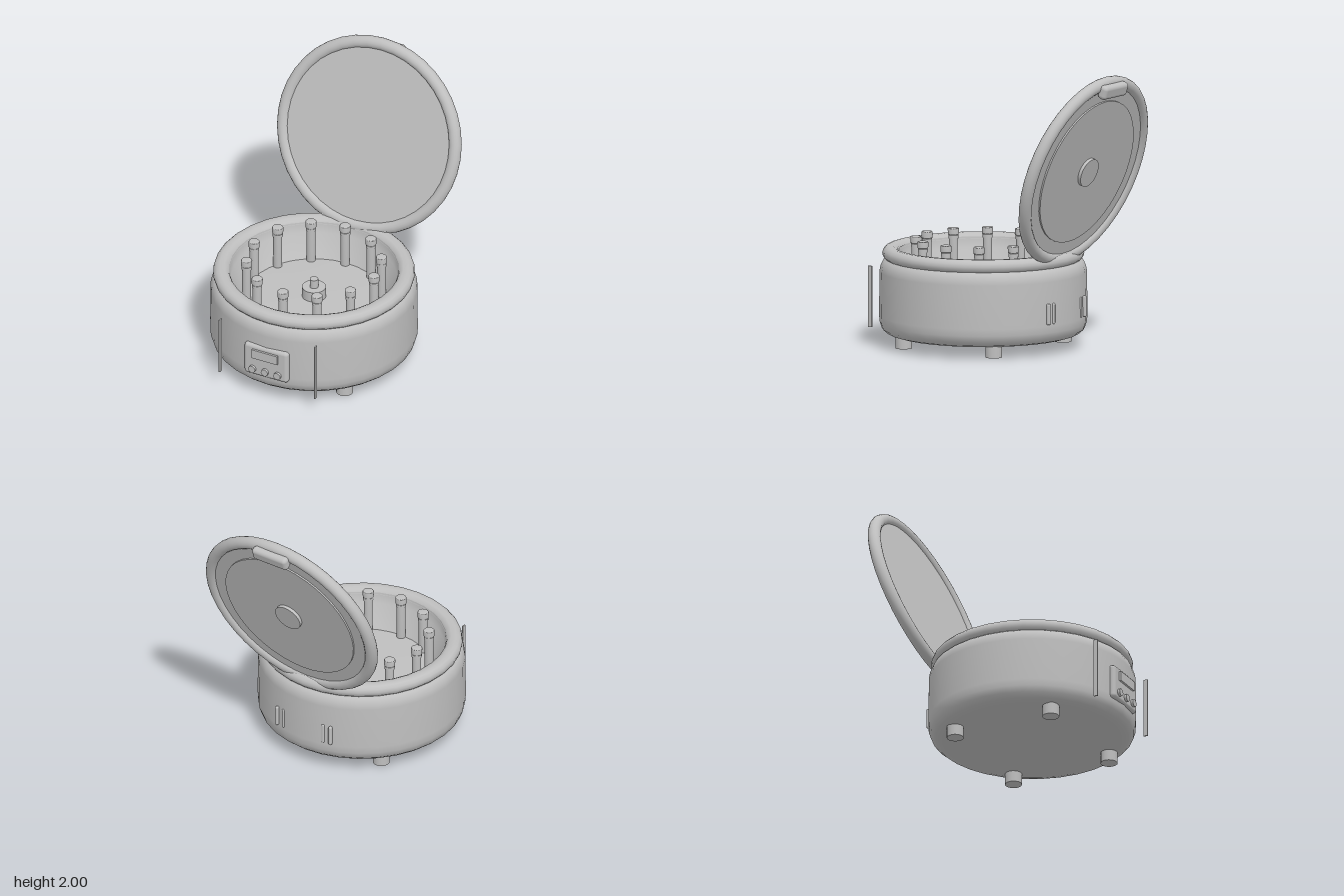
import * as THREE from 'three';
import { RoundedBoxGeometry } from 'three/addons/geometries/RoundedBoxGeometry.js';

export function createModel() {
  const model = new THREE.Group();
  const grey = new THREE.MeshStandardMaterial({ color: 0xbfbfbf });
  grey.name = 'plainGrey';

  function add(parent, name, geometry, x = 0, y = 0, z = 0) {
    const mesh = new THREE.Mesh(geometry, grey);
    mesh.name = name;
    mesh.position.set(x, y, z);
    parent.add(mesh);
    return mesh;
  }
  const lathe = (points, sides) =>
    new THREE.LatheGeometry(points.map(([r, y]) => new THREE.Vector2(r, y)), sides);

  // Base: drum, rim, bowl, feet and everything standing in the bowl
  const base = new THREE.Group();
  base.name = 'base';
  base.position.z = 0.19;
  model.add(base);

  add(base, 'drum', lathe([
    [0, 0.08], [0.62, 0.08], [0.63, 0.08], [0.68, 0.095], [0.715, 0.125], [0.73, 0.17],
    [0.733, 0.22], [0.73, 0.53], [0.722, 0.57], [0.705, 0.605], [0.67, 0.63],
  ], 32));
  add(base, 'rim', lathe([
    [0.6, 0.61], [0.69, 0.618], [0.706, 0.635], [0.711, 0.658], [0.705, 0.68],
    [0.688, 0.698], [0.665, 0.705], [0.63, 0.703], [0.605, 0.69], [0.594, 0.665],
  ], 32));
  add(base, 'bowlWall', lathe([[0.597, 0.68], [0.585, 0.6], [0.49, 0.44]], 32));
  add(base, 'bowlFloor', lathe([[0.492, 0.44], [0.25, 0.45], [0, 0.455]], 32));
  add(base, 'hub', new THREE.CylinderGeometry(0.085, 0.085, 0.1, 24), 0, 0.48, 0);
  add(base, 'hubPin', new THREE.CylinderGeometry(0.03, 0.03, 0.07, 16), 0, 0.56, 0);

  for (const x of [-0.44, 0.44]) {
    for (const z of [-0.38, 0.38]) {
      add(base, 'foot', new THREE.CylinderGeometry(0.06, 0.06, 0.1, 16), x, 0.05, z);
    }
  }

  // Ring of twelve capped tubes
  const tubeGeometry = lathe([[0, 0.41], [0.02, 0.415], [0.032, 0.44], [0.032, 0.7]], 16);
  const collarGeometry = new THREE.CylinderGeometry(0.036, 0.036, 0.025, 16);
  const capGeometry = lathe([
    [0, 0.722], [0.039, 0.722], [0.039, 0.722], [0.04, 0.762], [0.036, 0.768], [0, 0.768],
  ], 16);
  for (let i = 0; i < 12; i++) {
    const a = i * Math.PI / 6;
    const tube = new THREE.Group();
    tube.name = 'sampleTube';
    tube.position.set(0.475 * Math.sin(a), 0, 0.475 * Math.cos(a));
    add(tube, 'tubeBody', tubeGeometry);
    add(tube, 'tubeCollar', collarGeometry, 0, 0.705, 0);
    add(tube, 'tubeCap', capGeometry);
    base.add(tube);
  }

  // Control panel with display and three buttons
  add(model, 'controlPanel', new RoundedBoxGeometry(0.345, 0.25, 0.07, 4, 0.025), 0, 0.317, 0.9);
  add(model, 'display', new THREE.BoxGeometry(0.2, 0.07, 0.03), 0, 0.375, 0.935);
  for (const x of [-0.1, 0, 0.1]) {
    const button = add(model, 'button', new THREE.CylinderGeometry(0.027, 0.027, 0.03, 20), x, 0.245, 0.938);
    button.rotation.x = Math.PI / 2;
  }

  // Front strips, rear vents and hinges, mirrored
  for (const side of [-1, 1]) {
    add(model, 'frontStrip', new THREE.BoxGeometry(0.01, 0.435, 0.03), side * 0.377, 0.333, 0.895);
    for (const x of [0.17, 0.23]) {
      add(model, 'rearVent', new RoundedBoxGeometry(0.026, 0.15, 0.03, 3, 0.012), side * x, 0.305, -0.513);
    }
    const hinge = add(model, 'hinge', new THREE.CapsuleGeometry(0.02, 0.03, 4, 12), side * 0.23, 0.705, -0.435);
    hinge.rotation.z = Math.PI / 2;
  }

  // Open lid, leaning back; its local z points to the inside face
  const lid = new THREE.Group();
  lid.name = 'lid';
  lid.position.set(0, 1.315, -0.655);
  lid.rotation.x = -Math.PI / 10;
  model.add(lid);

  add(lid, 'lidRing', new THREE.TorusGeometry(0.673, 0.045, 16, 40));
  const disc = (name, radius, depth, z) => {
    const mesh = add(lid, name, new THREE.CylinderGeometry(radius, radius, depth, 40), 0, 0, z);
    mesh.rotation.x = Math.PI / 2;
  };
  disc('lidPanel', 0.645, 0.04, 0);
  disc('lidBackPlate', 0.54, 0.02, -0.022);
  disc('lidKnob', 0.105, 0.04, -0.036);
  add(lid, 'lidHandle', new RoundedBoxGeometry(0.295, 0.1, 0.07, 4, 0.028), 0, 0.638, -0.058);

  return model;
}
